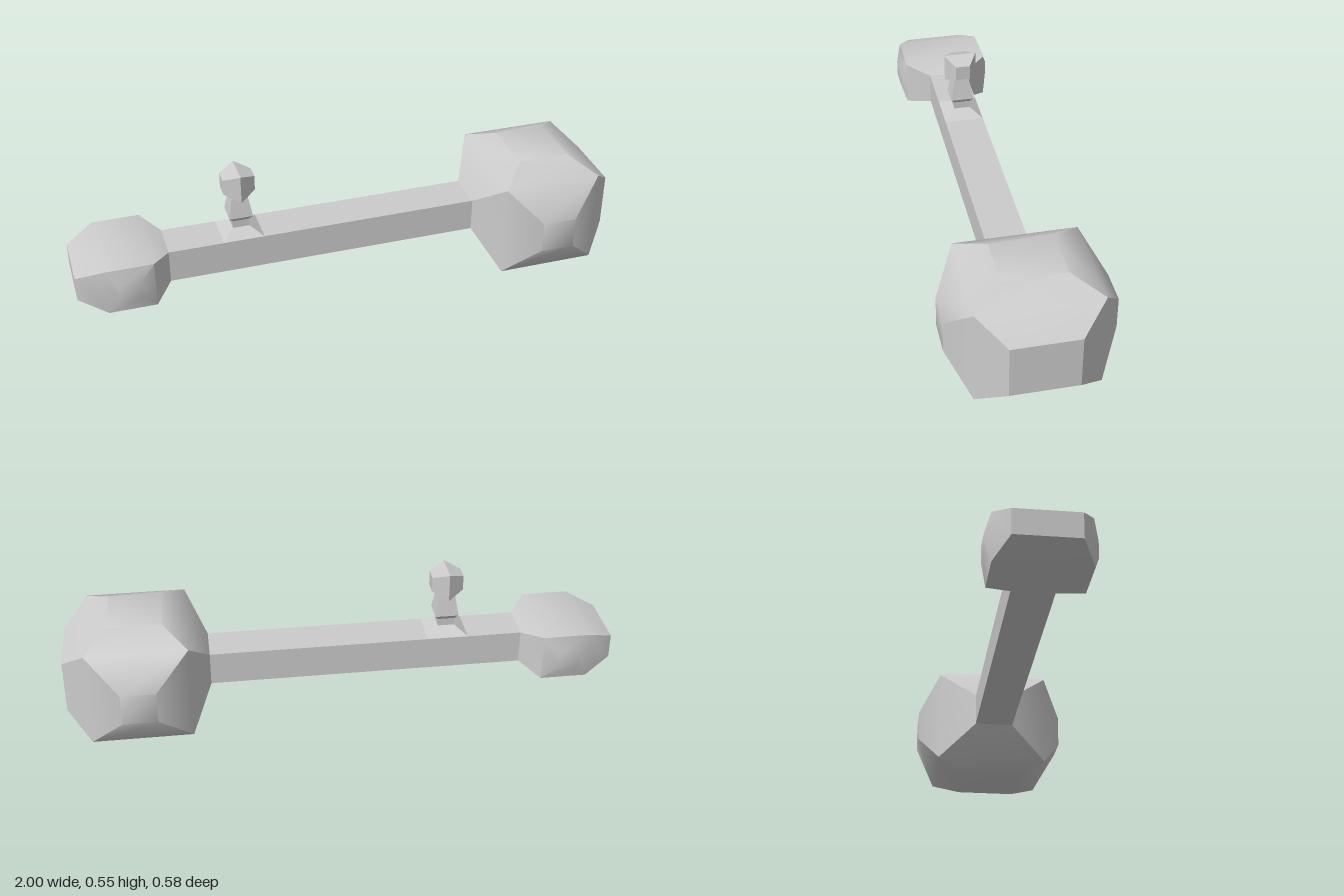
import * as THREE from 'three';
import { toCreasedNormals } from 'three/addons/utils/BufferGeometryUtils.js';

const material = new THREE.MeshStandardMaterial({ color: 0xcccccc });

// Collects four-cornered faces into one mesh, soft only across shallow edges
function meshFromQuads(name, quads, crease = 0.6) {
  const pos = [];
  for (const [a, b, c, d] of quads) for (const p of [a, b, c, a, c, d]) pos.push(...p);
  const geometry = new THREE.BufferGeometry();
  geometry.setAttribute('position', new THREE.Float32BufferAttribute(pos, 3));
  geometry.computeVertexNormals();
  const mesh = new THREE.Mesh(toCreasedNormals(geometry, crease), material);
  mesh.name = name;
  return mesh;
}

// Rectangle across an axis (0 x, 1 y, 2 z), anticlockwise about its positive end
function rect(axis, at, [u0, u1], [v0, v1]) {
  return [[u0, v0], [u1, v0], [u1, v1], [u0, v1]].map(([u, v]) => {
    const p = [0, 0, 0];
    p[axis] = at;
    p[(axis + 1) % 3] = u;
    p[(axis + 2) % 3] = v;
    return p;
  });
}

// Four faces joining two rectangles
const bridge = (a, b) => a.map((p, i) => [p, a[(i + 1) % 4], b[(i + 1) % 4], b[i]]);

function loft(name, rings, caps, crease) {
  const quads = [];
  for (let i = 0; i < rings.length - 1; i++) quads.push(...bridge(rings[i], rings[i + 1]));
  if (caps) quads.push([...rings[0]].reverse(), rings[rings.length - 1]);
  return meshFromQuads(name, quads, crease);
}

// Box whose sides are drawn out to smaller rectangles; a side without an inset stays flat.
// sides: [axis, sign, position, uRange, vRange, open]
function facetedBlock(name, box, sides) {
  const quads = [];
  for (const [axis, sign, at, u, v, open] of sides) {
    const base = rect(axis, box[axis][sign > 0 ? 1 : 0], box[(axis + 1) % 3], box[(axis + 2) % 3]);
    const inset = u ? rect(axis, at, u, v) : null;
    if (sign < 0) {
      base.reverse();
      if (inset) inset.reverse();
    }
    if (!inset) {
      quads.push(base);
      continue;
    }
    quads.push(...bridge(base, inset));
    if (!open) quads.push(inset);
  }
  return meshFromQuads(name, quads);
}

const sym = (h, c = 0) => [c - h, c + h];

export function createModel() {
  const group = new THREE.Group();
  group.name = 'mallet';
  const rodY = [0.17, 0.293], rodZ = sym(0.073);

  // Handle bar, its ends open into the two heads
  group.add(loft('handle', [rect(0, -0.665, rodY, rodZ), rect(0, 0.48, rodY, rodZ)], false));

  // Large faceted head
  group.add(facetedBlock('largeHead', [[0.555, 0.915], [0.05, 0.407], sym(0.213)], [
    [0, 1, 1, [0.13, 0.327], sym(0.118)],
    [0, -1, 0.48, rodY, rodZ, true],
    [1, 1, 0.456, sym(0.11), [0.64, 0.83]],
    [1, -1, 0, sym(0.11), [0.64, 0.83]],
    [2, 1, 0.29, [0.675, 0.8], [0.17, 0.287]],
    [2, -1, -0.29, [0.675, 0.8], [0.17, 0.287]],
  ]));

  // Flatter pommel at the other end
  group.add(facetedBlock('pommel', [[-0.9, -0.73], [0.143, 0.317], sym(0.16)], [
    [0, 1, -0.665, rodY, rodZ, true],
    [0, -1, -1, [0.185, 0.275], sym(0.11)],
    [1, 1],
    [1, -1],
    [2, 1, 0.18, [-0.86, -0.785], [0.2, 0.26]],
    [2, -1, -0.18, [-0.86, -0.785], [0.2, 0.26]],
  ]));

  // Knob stem: flared foot, waist, collar and tapered neck
  const kx = -0.392;
  const profile = [[0.293, 0.075, 0.073], [0.322, 0.03, 0.03], [0.35, 0.03, 0.03],
    [0.367, 0.043, 0.043], [0.45, 0.028, 0.028]];
  group.add(loft('knobStem',
    profile.map(([y, hx, hz]) => rect(1, y, sym(hz), sym(hx, kx))), false, 0.1));

  // Knob: two tapered halves meeting in a square middle section
  const end = (s) => rect(0, kx + s * 0.057, [0.467, 0.523], sym(0.027));
  group.add(loft('knob', [end(-1), rect(0, kx, [0.44, 0.545], sym(0.06)), end(1)], true, 0.1));

  return group;
}
